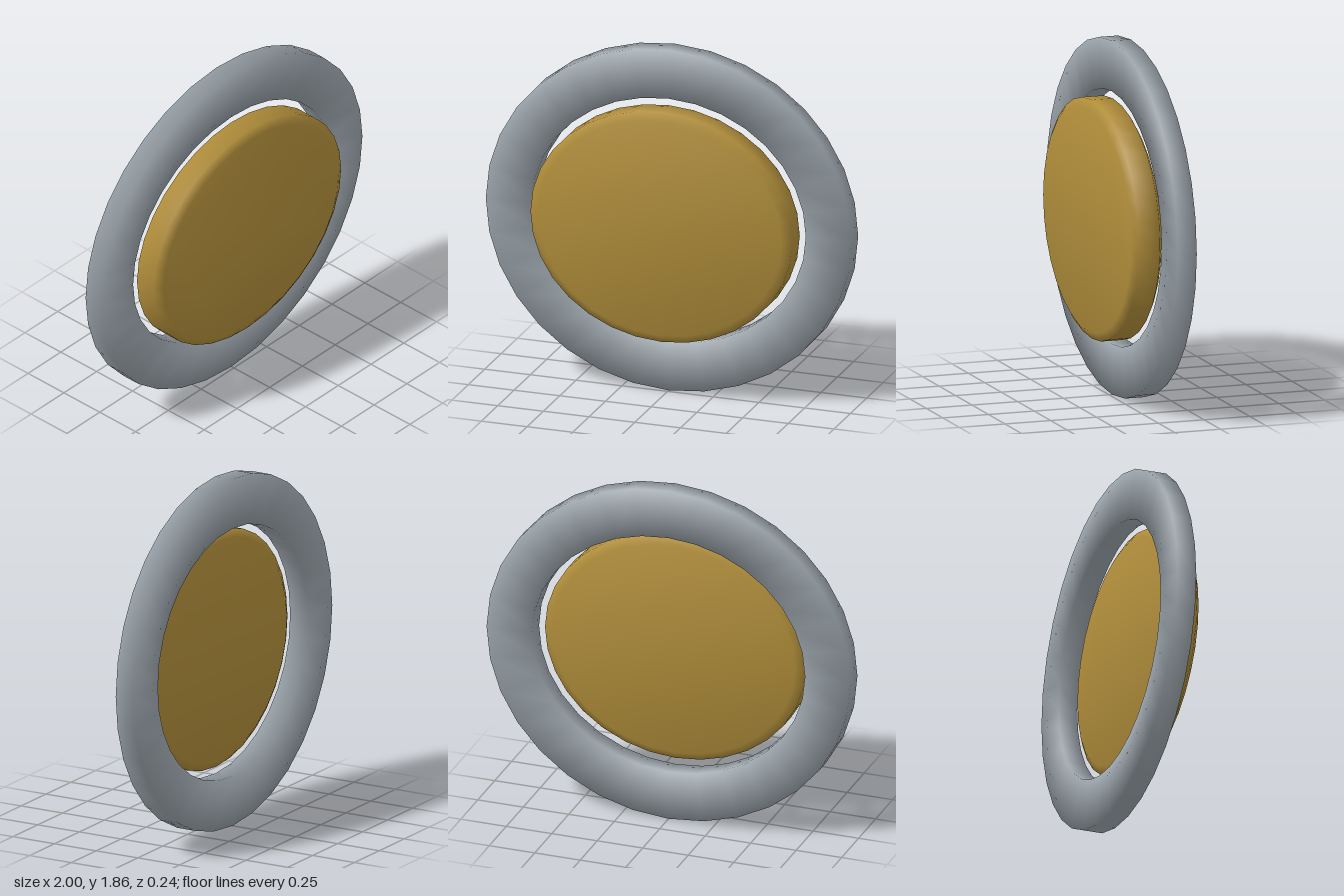
import * as THREE from 'three';

const SEGMENTS = 32;
const CENTRE_Y = 0.931;

// Lofts elliptical loops [rx, ry, z, outward normal, z normal];
// 'closed' joins last loop to first, otherwise both ends get flat caps.
function loft(loops, closed) {
  const positions = [], normals = [], index = [];
  for (const [rx, ry, z, nOut, nz] of loops) {
    for (let i = 0; i < SEGMENTS; i++) {
      const a = (i / SEGMENTS) * Math.PI * 2;
      const c = Math.cos(a), s = Math.sin(a);
      positions.push(rx * c, ry * s, z);
      const n = new THREE.Vector2(c / rx, s / ry).normalize().multiplyScalar(nOut);
      const v = new THREE.Vector3(n.x, n.y, nz).normalize();
      normals.push(v.x, v.y, v.z);
    }
  }
  const count = loops.length;
  for (let j = 0; j < (closed ? count : count - 1); j++) {
    const p = j * SEGMENTS, q = ((j + 1) % count) * SEGMENTS;
    for (let i = 0; i < SEGMENTS; i++) {
      const k = (i + 1) % SEGMENTS;
      index.push(p + i, p + k, q + k, p + i, q + k, q + i);
    }
  }
  if (!closed) {
    const outline = [];
    for (let i = 0; i < SEGMENTS; i++) {
      outline.push(new THREE.Vector2(positions[i * 3], positions[i * 3 + 1]));
    }
    const top = (count - 1) * SEGMENTS;
    for (const [a, b, c] of THREE.ShapeUtils.triangulateShape(outline, [])) {
      index.push(c, b, a, top + a, top + b, top + c);
    }
  }
  const geometry = new THREE.BufferGeometry();
  geometry.setAttribute('position', new THREE.Float32BufferAttribute(positions, 3));
  geometry.setAttribute('normal', new THREE.Float32BufferAttribute(normals, 3));
  geometry.setIndex(index);
  return geometry;
}

export function createModel() {
  const silver = new THREE.MeshStandardMaterial({ color: 0x98a1a8 });
  silver.name = 'silver grey';
  const gold = new THREE.MeshStandardMaterial({ color: 0xb08d3a });
  gold.name = 'dull gold';

  const group = new THREE.Group();
  group.name = 'framedDisc';

  // Oval frame with a rectangular section and softened shading
  const frame = new THREE.Mesh(loft([
    [1, 0.931, -0.12, 1, -1],
    [1, 0.931, -0.017, 1, 1],
    [0.75, 0.665, -0.017, -1, 1],
    [0.75, 0.665, -0.12, -1, -1],
  ], true), silver);
  frame.name = 'frame';

  // Oval disc, bevelled front and back, standing proud of the frame
  const disc = new THREE.Mesh(loft([
    [0.667, 0.585, -0.047, 0.26, -0.97],
    [0.716, 0.628, -0.021, 0.87, -0.5],
    [0.716, 0.628, 0.094, 0.87, 0.5],
    [0.667, 0.585, 0.12, 0.26, 0.97],
  ], false), gold);
  disc.name = 'disc';

  for (const part of [frame, disc]) {
    part.position.y = CENTRE_Y;
    group.add(part);
  }
  return group;
}
